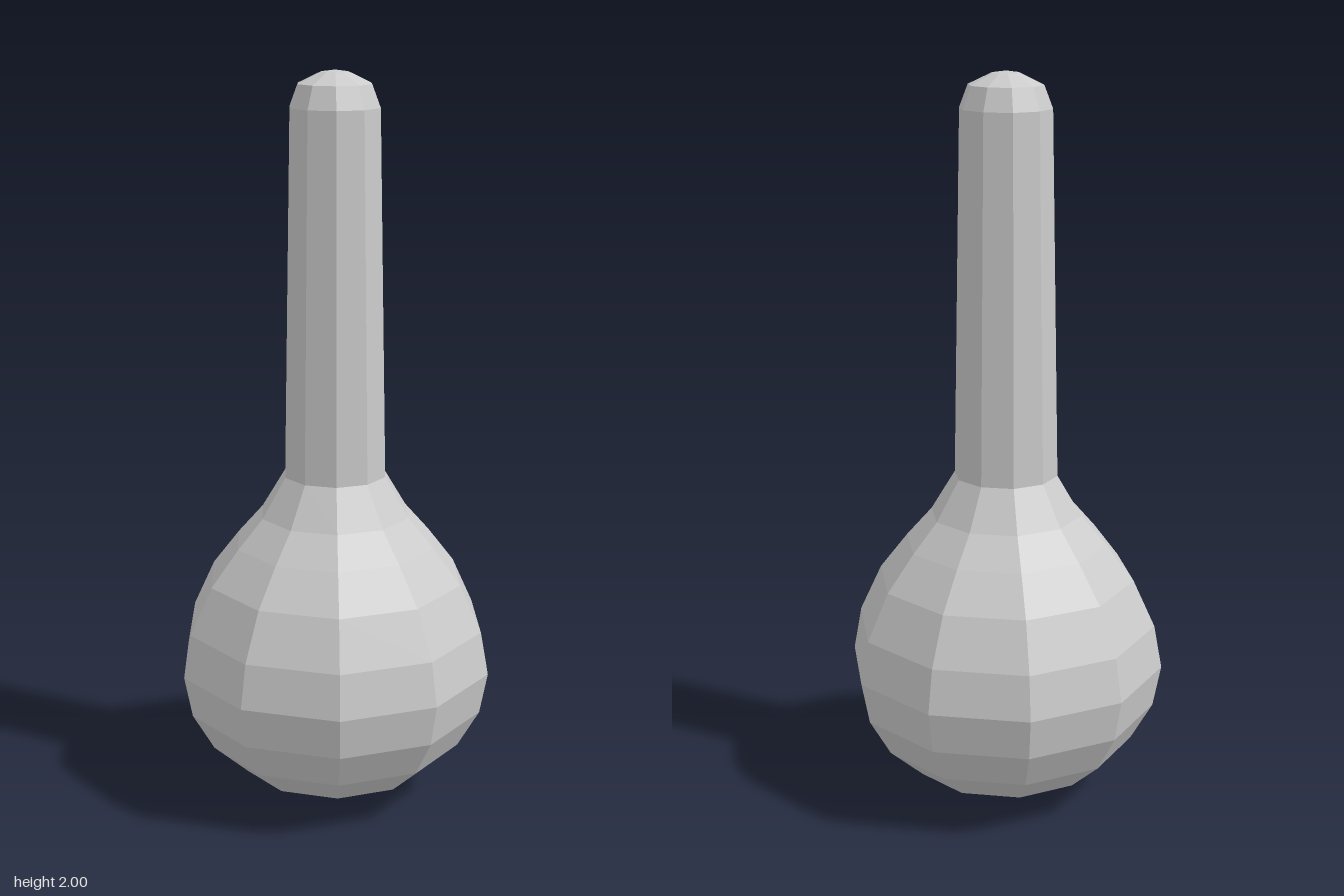
import * as THREE from 'three';

const SIDES = 10;

// Ten-sided turned part with a corner pointing along +x
function turned(name, profile, material) {
  const points = profile.map(([r, y]) => new THREE.Vector2(r, y));
  const mesh = new THREE.Mesh(new THREE.LatheGeometry(points, SIDES, Math.PI / 2), material);
  mesh.name = name;
  return mesh;
}

export function createModel() {
  const group = new THREE.Group();
  group.name = 'bulbWithStem';
  const material = new THREE.MeshStandardMaterial({ color: 0xcccccc, flatShading: true });

  // Round bulb narrowing into the neck
  group.add(turned('bulb', [
    [0, 0], [0.13, 0.025], [0.26, 0.075], [0.355, 0.16], [0.415, 0.265], [0.437, 0.38],
    [0.415, 0.5], [0.355, 0.63], [0.278, 0.73], [0.208, 0.81], [0.142, 0.92],
  ], material));

  // Long, slightly tapered stem
  group.add(turned('stem', [[0.142, 0.92], [0.123, 1.905]], material));

  // Rounded tip
  group.add(turned('tip', [[0.123, 1.905], [0.1, 1.965], [0.037, 1.995], [0, 2]], material));

  return group;
}
